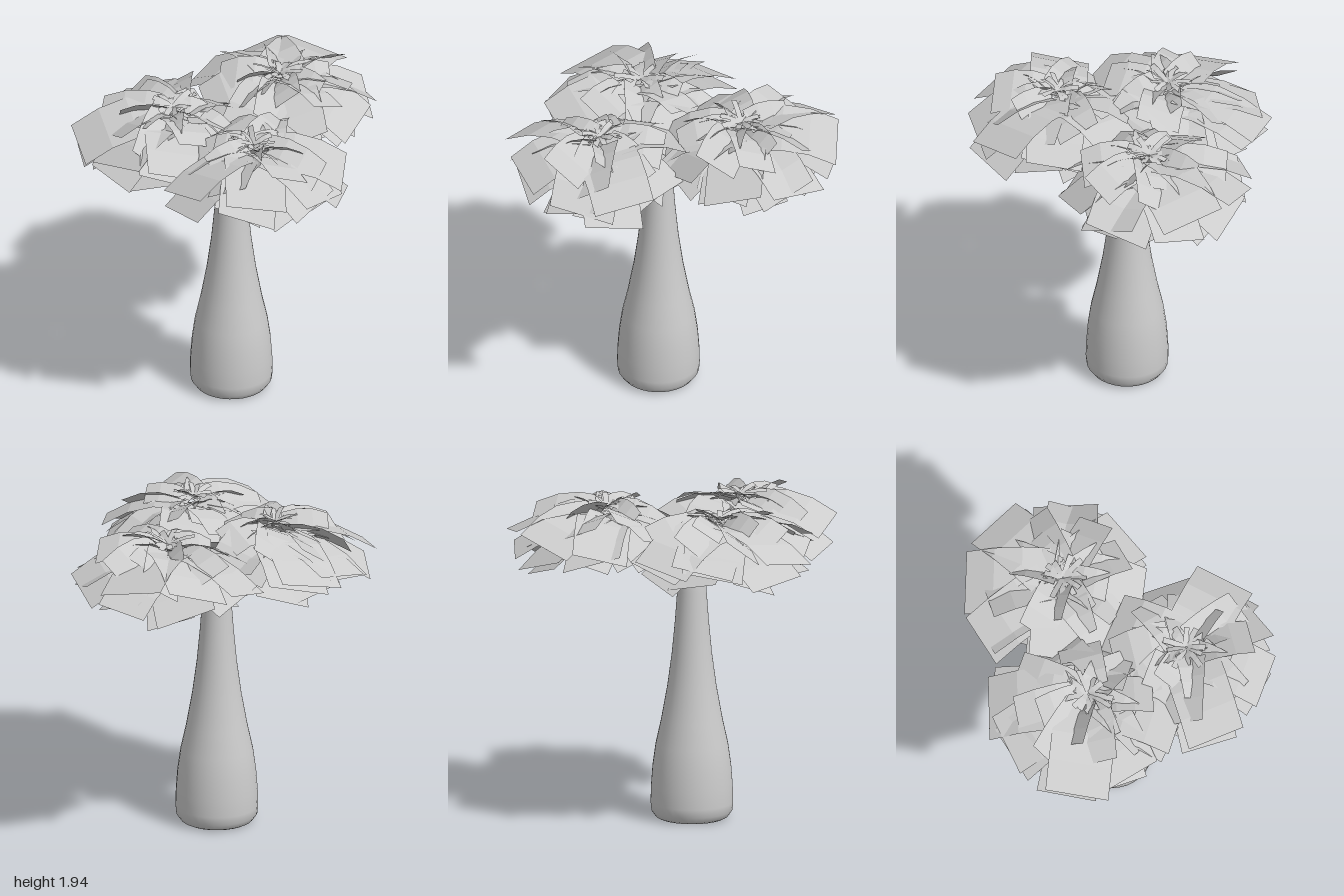
import * as THREE from 'three';

export function createModel() {
  const tree = new THREE.Group();
  tree.name = 'tree';
  const grey = new THREE.MeshStandardMaterial({ color: 0xcccccc, side: THREE.DoubleSide });
  grey.name = 'plain grey';

  // Small seeded generator for leaf variation
  let seed = 11;
  const rand = () => (seed = (seed * 16807) % 2147483647) / 2147483647;
  const spread = (a) => (rand() * 2 - 1) * a;

  const add = (parent, name, geometry) => {
    const mesh = new THREE.Mesh(geometry, grey);
    mesh.name = name;
    parent.add(mesh);
    return mesh;
  };

  // Bottle-shaped trunk with a slightly hollow underside
  const lathe = (name, points) => add(tree, name, new THREE.LatheGeometry(
    points.map(([r, y]) => new THREE.Vector2(r, y)), 32)).position.set(0.035, 0, 0.05);
  lathe('trunk', [
    [0.195, 0.005], [0.215, 0.015], [0.24, 0.05], [0.245, 0.1], [0.242, 0.2], [0.233, 0.32],
    [0.215, 0.45], [0.182, 0.6], [0.146, 0.8], [0.119, 1.0], [0.1, 1.2], [0.087, 1.38],
    [0.083, 1.46], [0.07, 1.51], [0.04, 1.54], [0, 1.55],
  ]);
  lathe('trunkBase', [[0, 0.05], [0.1, 0.035], [0.195, 0.005]]);

  // Tube that narrows from r0 to r1 along its curve
  function taperedTube(curve, r0, r1, segs = 14, sides = 14) {
    const geo = new THREE.TubeGeometry(curve, segs, 1, sides);
    const pos = geo.attributes.position, p = new THREE.Vector3(), c = new THREE.Vector3();
    for (let i = 0; i < pos.count; i++) {
      const t = Math.floor(i / (sides + 1)) / segs;
      curve.getPointAt(t, c);
      p.fromBufferAttribute(pos, i).sub(c).multiplyScalar(r0 + (r1 - r0) * t).add(c);
      pos.setXYZ(i, p.x, p.y, p.z);
    }
    geo.computeVertexNormals();
    return geo;
  }

  // Rectangular leaf arching outward, rolled about its own length
  function leafGeometry({ angle, r0, r1, y0, y1, width, roll, arch }) {
    const geo = new THREE.PlaneGeometry(1, 1, 1, 3);
    const pos = geo.attributes.position;
    const ca = Math.cos(angle), sa = Math.sin(angle);
    for (let i = 0; i < pos.count; i++) {
      const t = 0.5 - pos.getY(i), w = pos.getX(i) * width;
      const r = r0 + (r1 - r0) * t;
      const side = w * Math.cos(roll);
      const y = y0 + (y1 - y0) * t + arch * Math.sin(Math.PI * t) + w * Math.sin(roll);
      pos.setXYZ(i, ca * r - sa * side, y, sa * r + ca * side);
    }
    const flat = geo.toNonIndexed();
    flat.computeVertexNormals();
    return flat;
  }

  // Leaf rings that follow the crown's main leaf directions, as fractions of their reach
  const broadRings = [
    { name: 'skirtLeaf', turn: 0.3, r0: 0.1, reach: 0.8, y0: 1.74, y1: 1.59, drop: 0.05, width: 0.3, roll: 0.4, arch: 0.02 },
    { name: 'lowerLeaf', turn: 0.1, r0: 0.1, reach: 0.97, y0: 1.78, y1: 1.63, drop: 0.05, width: 0.34, roll: 0.3, arch: 0.04 },
    { name: 'outerLeaf', turn: 0, r0: 0.08, reach: 1, y0: 1.83, y1: 1.7, drop: 0.06, width: 0.36, roll: 0.3, arch: 0.05 },
    { name: 'middleLeaf', turn: 0.4, r0: 0.05, reach: 0.78, y0: 1.84, y1: 1.78, drop: 0.05, width: 0.25, roll: 0.65, arch: 0.04 },
    { name: 'innerLeaf', turn: 0.15, r0: 0.04, reach: 0.55, y0: 1.85, y1: 1.82, drop: 0.04, width: 0.18, roll: 0.85, arch: 0.03 },
  ];

  // Three branches; "tips" are where the main leaves of each crown end (x, z)
  const crowns = [
    { x: -0.31, z: 0.05, tips: [[-0.53, -0.49], [-0.77, -0.26], [-0.86, 0.2], [-0.63, 0.46], [-0.24, 0.59], [0.06, 0.37], [0.1, 0], [-0.08, -0.32]] },
    { x: 0.3, z: -0.38, tips: [[-0.2, -0.67], [0.11, -0.92], [0.48, -0.92], [0.81, -0.57], [0.78, -0.2], [0.45, 0.07], [0.12, 0.03], [-0.14, -0.24]] },
    { x: 0.19, z: 0.46, tips: [[0.73, 0.5], [0.62, 0.7], [0.22, 0.96], [-0.22, 0.83], [-0.25, 0.45], [-0.08, 0.14], [0.22, -0.02], [0.54, 0.14]] },
  ];
  for (const { x, z, tips } of crowns) {
    const at = (k, y) => new THREE.Vector3(0.035 + (x - 0.035) * k, y, 0.05 + (z - 0.05) * k);
    const curve = new THREE.CatmullRomCurve3([at(0, 1.38), at(0.07, 1.47), at(0.3, 1.56), at(0.68, 1.65), at(1, 1.81)]);
    add(tree, 'branch', taperedTube(curve, 0.078, 0.035));

    const crown = new THREE.Group();
    crown.name = 'leafCrown';
    crown.position.set(x, 0, z);
    tree.add(crown);
    for (const ring of broadRings) {
      for (const [tx, tz] of tips) {
        add(crown, ring.name, leafGeometry({
          angle: Math.atan2(tz - z, tx - x) + ring.turn + spread(0.06),
          r0: ring.r0,
          r1: Math.hypot(tx - x, tz - z) * ring.reach * (1 + spread(0.02)),
          y0: ring.y0 + spread(0.02),
          y1: ring.y1 + spread(ring.drop),
          width: ring.width * (1 + spread(0.1)),
          roll: ring.roll * (0.4 + 0.6 * rand()) * (rand() < 0.5 ? -1 : 1),
          arch: ring.arch,
        }));
      }
    }
    // Star of narrow strips at the top of the crown
    for (let i = 0; i < 14; i++) {
      add(crown, 'tuftLeaf', leafGeometry({
        angle: (i / 14) * Math.PI * 2 + spread(0.12),
        r0: 0.005, r1: 0.13 + spread(0.03),
        y0: 1.88, y1: 1.91 + spread(0.03),
        width: 0.035, roll: spread(0.7), arch: 0.01,
      }));
    }
  }
  return tree;
}
